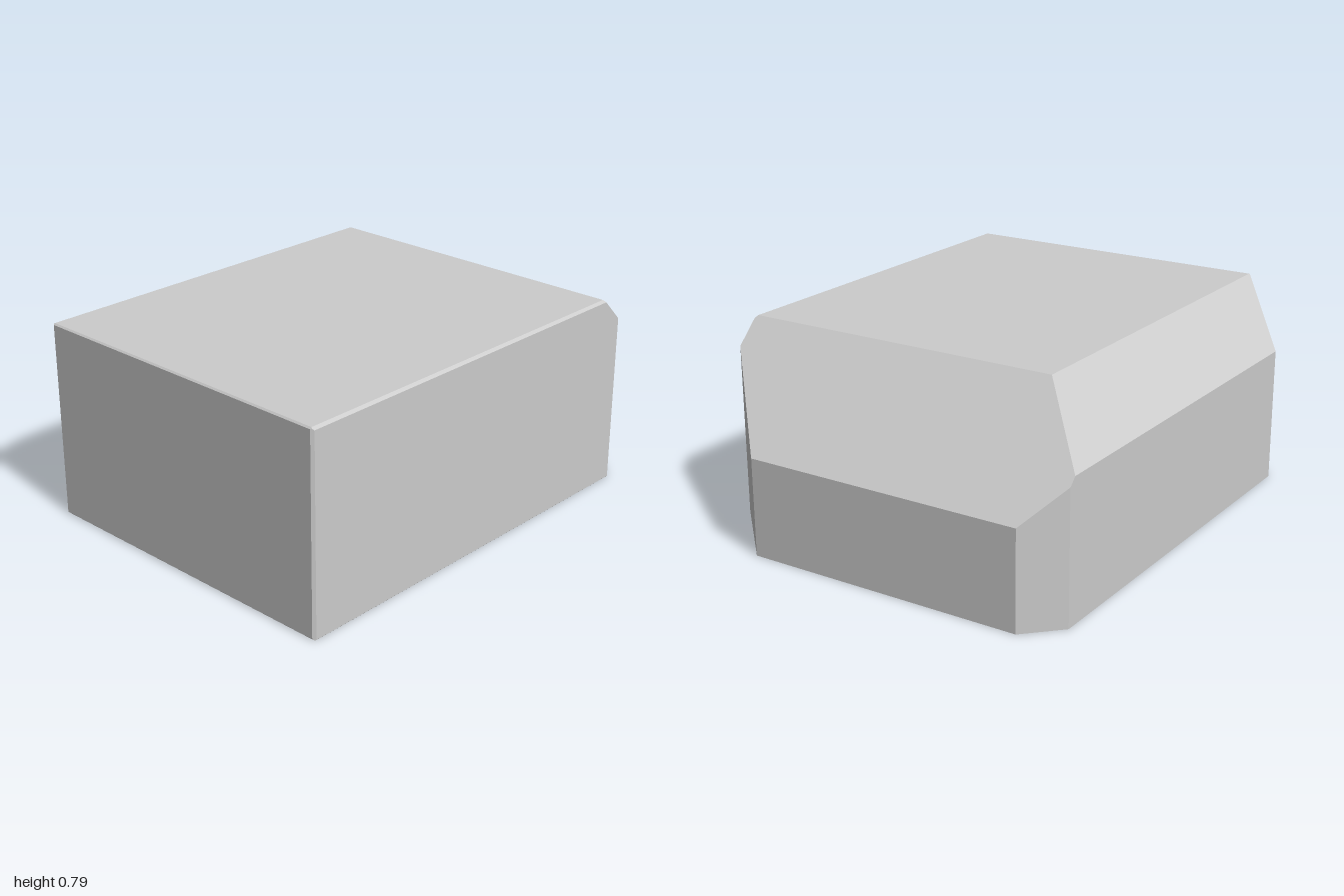
import * as THREE from 'three';

const W = 0.79, H = 0.79, D = 1; // half width, height, half depth

// A plane is an outward direction plus its offset from the origin
const side = (x, y, z) => ({
  n: new THREE.Vector3(x, y, z),
  d: Math.abs(x) * W + (y > 0 ? H : 0) + Math.abs(z) * D,
});

// 45 degree cut along the edge shared by two sides, set back by "size"
const chamfer = (x, y, z, size) => {
  const p = side(x, y, z);
  return { n: p.n.normalize(), d: (p.d - size) / Math.SQRT2 };
};

// Convex solid bounded by planes: find its corners, then fan each face
function solidFromPlanes(planes) {
  const corners = [];
  const m = new THREE.Matrix3();
  for (let i = 0; i < planes.length; i++)
    for (let j = i + 1; j < planes.length; j++)
      for (let k = j + 1; k < planes.length; k++) {
        const [a, b, c] = [planes[i], planes[j], planes[k]];
        m.set(a.n.x, a.n.y, a.n.z, b.n.x, b.n.y, b.n.z, c.n.x, c.n.y, c.n.z);
        if (Math.abs(m.determinant()) < 1e-6) continue;
        const p = new THREE.Vector3(a.d, b.d, c.d).applyMatrix3(m.invert());
        const inside = planes.every((q) => q.n.dot(p) <= q.d + 1e-6);
        if (inside && !corners.some((q) => q.distanceTo(p) < 1e-5)) corners.push(p);
      }

  const positions = [];
  for (const { n, d } of planes) {
    const face = corners.filter((p) => Math.abs(n.dot(p) - d) < 1e-5);
    if (face.length < 3) continue;
    const centre = face.reduce((s, p) => s.add(p), new THREE.Vector3()).divideScalar(face.length);
    const u = face[0].clone().sub(centre).normalize();
    const v = n.clone().cross(u);
    const angle = (p) => {
      const r = p.clone().sub(centre);
      return Math.atan2(r.dot(v), r.dot(u));
    };
    face.sort((p, q) => angle(p) - angle(q)); // counter-clockwise from outside
    for (let i = 1; i < face.length - 1; i++)
      for (const p of [face[0], face[i], face[i + 1]]) positions.push(p.x, p.y, p.z);
  }
  const g = new THREE.BufferGeometry();
  g.setAttribute('position', new THREE.Float32BufferAttribute(positions, 3));
  g.computeVertexNormals();
  return g;
}

export function createModel() {
  const group = new THREE.Group();
  group.name = 'chamferedBlock';

  const planes = [
    // the six sides of the block
    side(1, 0, 0), side(-1, 0, 0),
    side(0, 1, 0), side(0, -1, 0),
    side(0, 0, 1), side(0, 0, -1),
    // broad chamfers
    chamfer(0, 1, -1, 0.4),   // top back
    chamfer(1, 0, -1, 0.3),   // back, +x corner
    chamfer(-1, 0, -1, 0.13), // back, -x corner
    chamfer(-1, 1, 0, 0.24),  // top, -x edge
    chamfer(-1, 0, 1, 0.24),  // front, -x corner
    // fine chamfers
    chamfer(1, 1, 0, 0.01),
    chamfer(1, 0, 1, 0.01),
    chamfer(0, 1, 1, 0.006),
    chamfer(0, -1, 1, 0.006),
    chamfer(1, -1, 0, 0.003),
  ];

  const block = new THREE.Mesh(
    solidFromPlanes(planes),
    new THREE.MeshStandardMaterial({ color: 0xcccccc, flatShading: true })
  );
  block.name = 'block';
  group.add(block);
  return group;
}
